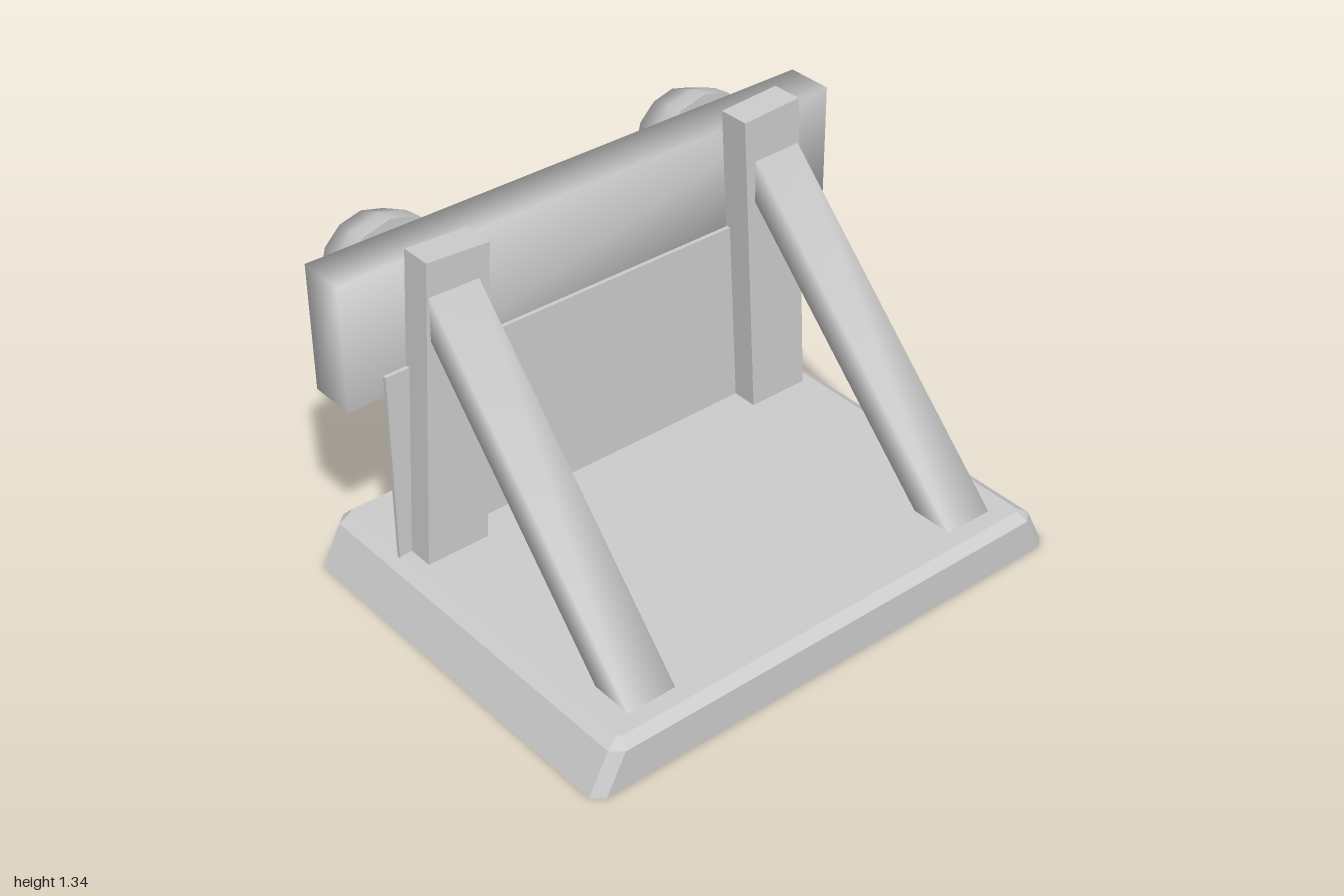
import * as THREE from 'three';
import { mergeVertices } from 'three/addons/utils/BufferGeometryUtils.js';

const grey = new THREE.MeshStandardMaterial({ color: 0xcccccc });
const thin = new THREE.MeshStandardMaterial({ color: 0xcccccc, side: THREE.DoubleSide });

// Box whose normals run softly round its edges
function softBox(w, h, d) {
  const g = new THREE.BoxGeometry(w, h, d);
  g.deleteAttribute('normal');
  g.deleteAttribute('uv');
  const m = mergeVertices(g);
  m.computeVertexNormals();
  return m;
}

// Bottomless shell from eight-cornered rings, closed on top
function baseGeometry() {
  // y, half width, front z, back z, corner cut in x and z
  const rings = [
    [0, 0.98, 0.815, -0.69, 0.04, 0.035],
    [0.145, 0.905, 0.815, -0.69, 0.04, 0.035],
    [0.175, 0.86, 0.78, -0.66, 0.01, 0.01],
  ].map(([y, x, f, b, cx, cz]) => [
    [x, b + cz], [x - cx, b], [cx - x, b], [-x, b + cz],
    [-x, f - cz], [cx - x, f], [x - cx, f], [x, f - cz],
  ].map(([px, pz]) => [px, y, pz]));
  const pos = [];
  const tri = (...p) => p.forEach((v) => pos.push(...v));
  for (let r = 0; r < 2; r++) {
    for (let i = 0; i < 8; i++) {
      const j = (i + 1) % 8, a = rings[r], b = rings[r + 1];
      tri(a[i], b[j], a[j]);
      tri(a[i], b[i], b[j]);
    }
  }
  for (let i = 1; i < 7; i++) tri(rings[2][0], rings[2][i], rings[2][i + 1]);
  const g = new THREE.BufferGeometry();
  g.setAttribute('position', new THREE.Float32BufferAttribute(pos, 3));
  g.computeVertexNormals();
  return g;
}

export function createModel() {
  const model = new THREE.Group();
  const add = (name, geometry, x, y, z, material = grey) => {
    const mesh = new THREE.Mesh(geometry, material);
    mesh.name = name;
    mesh.position.set(x, y, z);
    model.add(mesh);
    return mesh;
  };

  add('base', baseGeometry(), 0, 0, 0, thin);
  add('backPanel', new THREE.BoxGeometry(1.74, 0.75, 0.015), 0, 0.505, -0.354);
  add('crossBeam', softBox(2, 0.46, 0.175), 0, 1.023, -0.4575);

  // Rounded pad, revolved about y and turned to face the back
  const profile = [[0, 0], [0.212, 0], [0.204, 0.065], [0.165, 0.172], [0, 0.213]]
    .map(([r, h]) => new THREE.Vector2(r, h));
  const padFace = new THREE.LatheGeometry(profile.slice(1), 12);
  const padBack = new THREE.LatheGeometry(profile.slice(0, 2), 12);

  for (const [side, s, top] of [['left', 1, 1.337], ['right', -1, 1.29]]) {
    // Leaning upright, its foot reaching through the base
    const foot = 0.13;
    const lean = Math.atan2(0.068, 1.13);
    const post = add(side + 'Post', new THREE.BoxGeometry(0.237, top - foot, 0.115),
      s * 0.672, (top + foot) / 2, -0.308);
    post.rotation.z = s * lean * (s > 0 ? 0.95 : 1);

    // Diagonal brace from the front of the base to the post
    const a = new THREE.Vector3(s * 0.684, 0.12, 0.69);
    const b = new THREE.Vector3(s * 0.662, 1.135, -0.287);
    const brace = add(side + 'Brace', softBox(0.185, a.distanceTo(b), 0.115), 0, 0, 0);
    brace.position.copy(a).add(b).multiplyScalar(0.5);
    brace.quaternion.setFromUnitVectors(new THREE.Vector3(0, 1, 0), b.clone().sub(a).normalize());

    // Buffer pad standing just clear of the beam
    for (const [part, g] of [['BufferFace', padFace], ['BufferBack', padBack]]) {
      add(side + part, g, s * 0.647, 1.04, -0.602, thin).rotation.x = -Math.PI / 2;
    }
  }
  return model;
}
